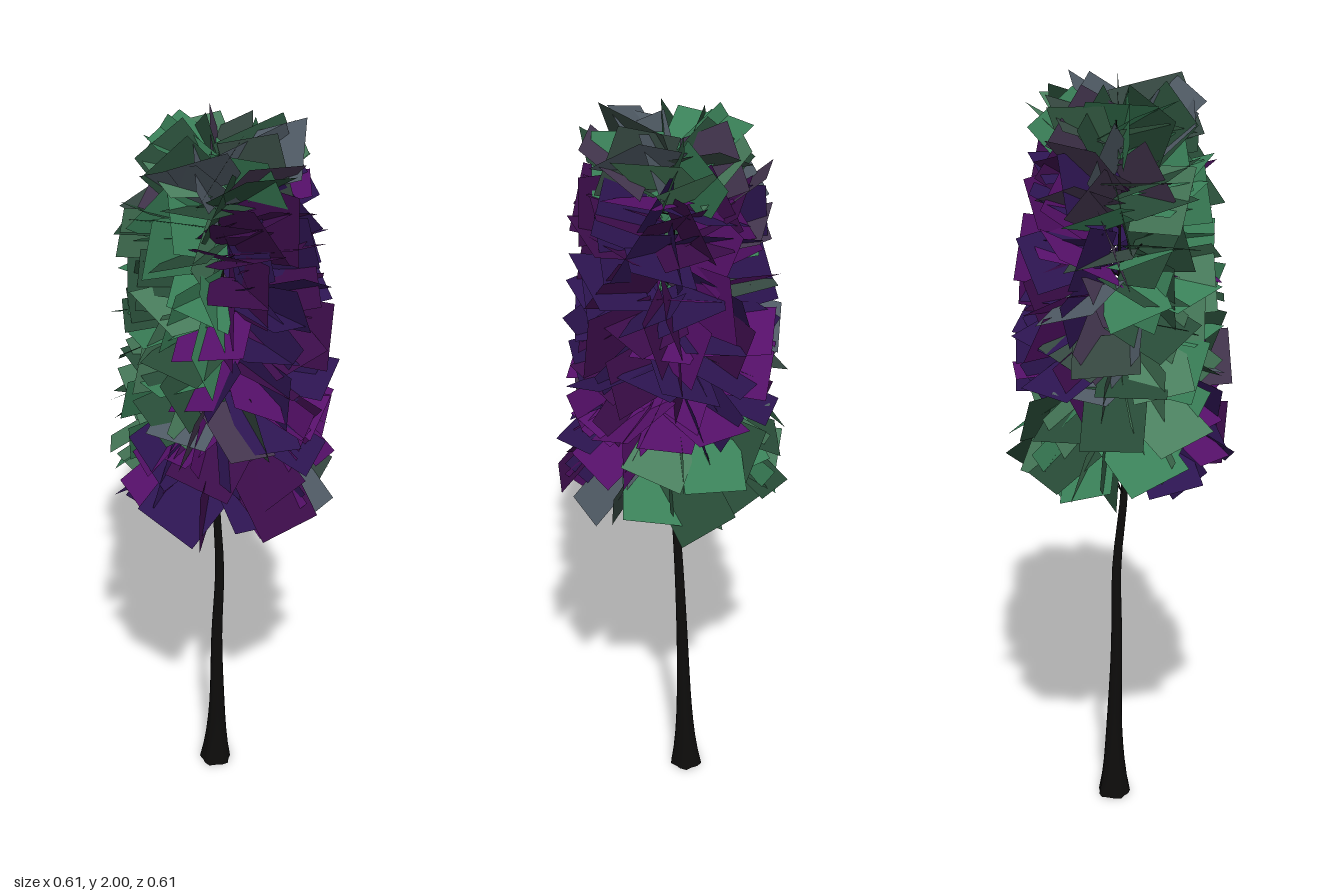
import * as THREE from 'three';
import { mergeGeometries } from 'three/addons/utils/BufferGeometryUtils.js';

const V = (x, y, z) => new THREE.Vector3(x, y, z);

function seeded(seed) {
  return () => {
    seed = (seed * 16807) % 2147483647;
    return seed / 2147483647;
  };
}

// Gently leaning stem line, from the ground to the crown top
const stem = new THREE.CatmullRomCurve3([
  V(-0.042, 0, -0.012), V(-0.036, 0.2, -0.012), V(-0.03, 0.45, -0.006), V(-0.02, 0.68, -0.008),
  V(-0.011, 0.92, 0.012), V(-0.008, 1.2, 0.006), V(-0.004, 1.5, -0.004), V(-0.005, 1.8, 0),
]);

// Trunk: a cylinder bent along the stem line, flared and lobed at the root
function trunkGeometry() {
  const g = new THREE.CylinderGeometry(1, 1, 1, 15, 28);
  const p = g.attributes.position;
  for (let i = 0; i < p.count; i++) {
    const t = p.getY(i) + 0.5;
    const c = stem.getPoint(t);
    const a = Math.atan2(p.getZ(i), p.getX(i));
    const flare = Math.exp(-c.y / 0.13);
    const r = (0.018 * (1 - t) + 0.002 + 0.023 * flare) * (1 + 0.1 * flare * Math.cos(5 * a));
    const s = Math.hypot(p.getX(i), p.getZ(i)) * r;
    p.setXYZ(i, c.x + Math.cos(a) * s, c.y, c.z + Math.sin(a) * s);
  }
  g.computeVertexNormals();
  return g;
}

const PALETTE = {
  purple: [0x56106a, 0x3a0c48, 0x2c1450],
  grey: [0x4f5a64, 0x34463f, 0x44364f],
  green: [0x3a8058, 0x4a7f5e, 0x274a36],
};

// Colour patches: green towards the front and crown top, purple elsewhere
function tint(t, dx, dz, jitter) {
  let g = 0.7 * dz - 0.55 * dx;
  if (t < 0.15) g = 0.35 - 0.7 * (dx + dz);
  if (t > 0.9) g = 0.55;
  g += jitter;
  return g < 0.05 ? 'purple' : g < 0.5 ? 'grey' : 'green';
}

export function createModel() {
  const tree = new THREE.Group();
  tree.name = 'tree';
  const bark = new THREE.MeshStandardMaterial({ color: 0x0d0c0b });
  const trunk = new THREE.Mesh(trunkGeometry(), bark);
  trunk.name = 'trunk';
  tree.add(trunk);

  const rand = seeded(4711);
  const spread = (s) => (rand() * 2 - 1) * s;
  const leaves = {};
  const twigs = [];
  const TIERS = 9;
  const PER_TIER = 12;

  // Tiers of square leaf sheets: drooping at the bottom, rising at the top
  for (let k = 0; k < TIERS; k++) {
    const t = k / (TIERS - 1);
    const rim = 0.312 - 0.035 * t - 0.035 * t ** 4;
    for (let j = 0; j < PER_TIER; j++) {
      const a = ((j + k * 0.38 + spread(0.35)) / PER_TIER) * Math.PI * 2;
      const y = 1.05 + 0.84 * t + spread(0.035);
      const dx = Math.cos(a), dz = -Math.sin(a);
      const family = tint(t, dx, dz, spread(0.45));

      // Each pair has one flat sheet and one standing nearly on edge
      for (let n = 0; n < 2; n++) {
        const length = 0.195 + spread(0.02);
        const width = 0.165 + spread(0.02);
        const roll = n === 0 ? spread(0.5) : (j % 2 ? 1 : -1) * (1.3 + spread(0.35));
        const card = new THREE.PlaneGeometry(length, width)
          .rotateX(-Math.PI / 2)
          .rotateY(spread(0.4))
          .rotateX(roll)
          .rotateZ(-0.65 + 1.2 * t + spread(0.3));
        // Hang the sheet from the crown's rim, between its lowest and highest level
        card.computeBoundingBox();
        const { min, max } = card.boundingBox;
        const level = THREE.MathUtils.clamp(y, 0.9 - min.y, 2 - max.y);
        card.translate(rim - max.x - rand() * 0.05, level, 0).rotateY(a + n * 0.26);
        const color = PALETTE[family][Math.floor(rand() * 3)];
        (leaves[color] ??= []).push(card);
      }

      // Short twig from the stem to every third leaf pair
      if (j % 3 === 0) {
        const from = stem.getPoint(THREE.MathUtils.clamp((y - 0.03) / 1.8, 0, 1));
        const to = V(dx * 0.09, y, dz * 0.09);
        const mid = from.clone().lerp(to, 0.5).add(V(0, -0.012, 0));
        twigs.push(new THREE.TubeGeometry(new THREE.QuadraticBezierCurve3(from, mid, to), 4, 0.002, 4));
      }
    }
  }

  const branches = new THREE.Mesh(mergeGeometries(twigs), bark);
  branches.name = 'twigs';
  tree.add(branches);

  const crown = new THREE.Group();
  crown.name = 'crown';
  for (const [color, cards] of Object.entries(leaves)) {
    const material = new THREE.MeshStandardMaterial({ color: Number(color), side: THREE.DoubleSide });
    const mesh = new THREE.Mesh(mergeGeometries(cards), material);
    mesh.name = 'leaves';
    crown.add(mesh);
  }
  tree.add(crown);
  return tree;
}
